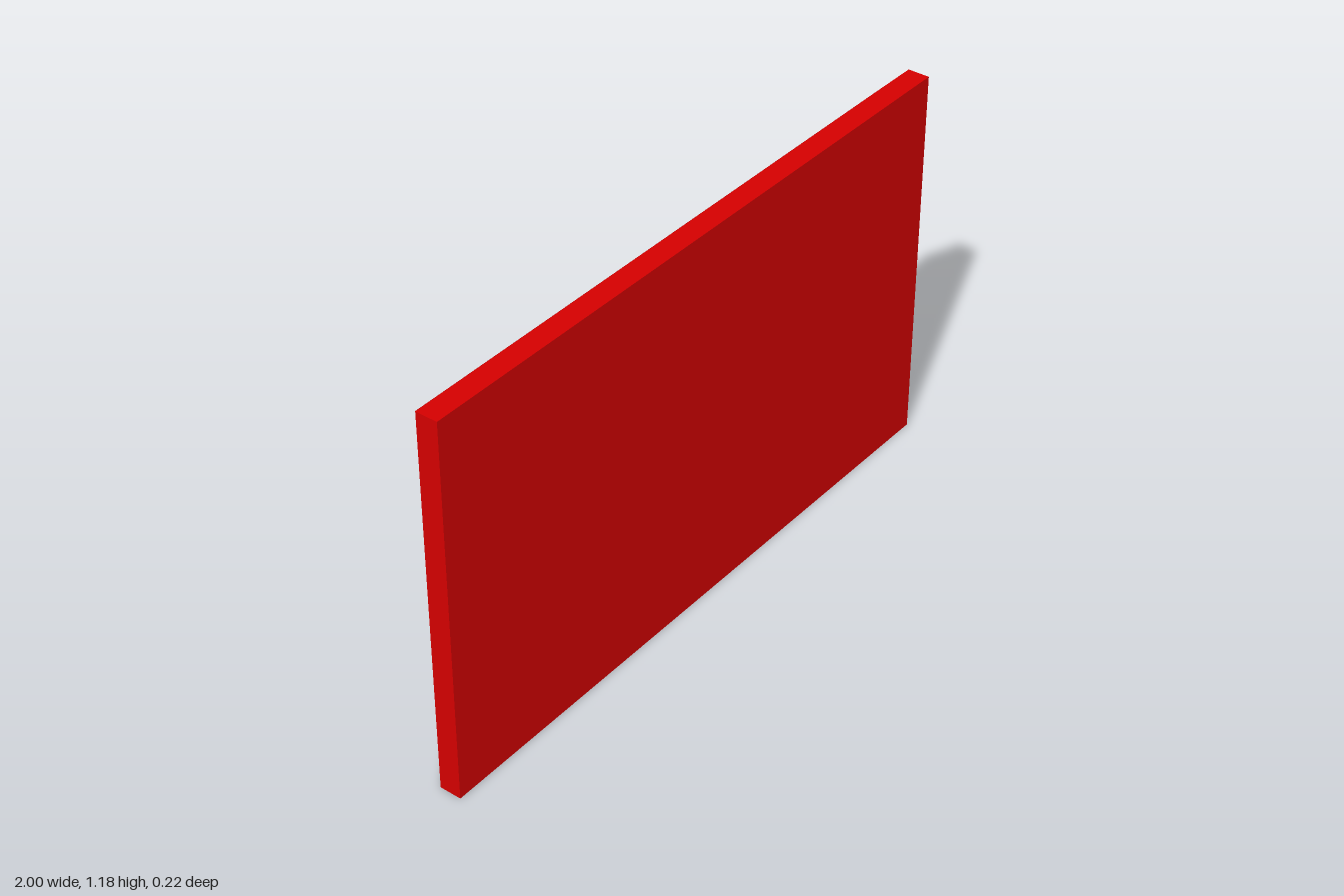
import * as THREE from 'three';

const red = new THREE.MeshStandardMaterial({ color: 0xd60000 });
red.name = 'red';
const darkRed = new THREE.MeshStandardMaterial({ color: 0x860406 });
darkRed.name = 'darkRed';
// Box faces run +x, -x, +y, -y, +z, -z
const darkSides = [darkRed, darkRed, darkRed, darkRed, red, red];

// Rectangular plate whose back rim rolls over in a soft chamfer
function plateGeometry(w, h, zFront, zRim, zBack, inset) {
  const positions = [], normals = [], index = [];
  const ring = (d, z) => [[-1, -1], [1, -1], [1, 1], [-1, 1]]
    .map(([sx, sy]) => [sx * (w / 2 - d), sy * (h / 2 - d), z]);
  const front = ring(0, zFront), rim = ring(0, zRim), back = ring(inset, zBack);

  const quad = (corners, cornerNormals) => {
    const i = positions.length / 3;
    corners.forEach((c, k) => {
      positions.push(...c);
      normals.push(...cornerNormals[k]);
    });
    index.push(i, i + 1, i + 2, i, i + 2, i + 3);
  };
  const toFront = [0, 0, 1], toBack = [0, 0, -1];
  quad(front, Array(4).fill(toFront));
  quad([...back].reverse(), Array(4).fill(toBack));

  // Side wall and chamfer on each of the four edges
  const outward = [[0, -1, 0], [1, 0, 0], [0, 1, 0], [-1, 0, 0]];
  for (let a = 0; a < 4; a++) {
    const b = (a + 1) % 4, n = outward[a];
    quad([front[b], front[a], rim[a], rim[b]], [n, n, n, n]);
    quad([rim[b], rim[a], back[a], back[b]], [n, n, toBack, toBack]);
  }
  const g = new THREE.BufferGeometry();
  g.setAttribute('position', new THREE.Float32BufferAttribute(positions, 3));
  g.setAttribute('normal', new THREE.Float32BufferAttribute(normals, 3));
  g.setIndex(index);
  return g;
}

function box(name, material, x, y, w, h, z0, z1) {
  const mesh = new THREE.Mesh(new THREE.BoxGeometry(w, h, z1 - z0), material);
  mesh.name = name;
  mesh.position.set(x, y, (z0 + z1) / 2);
  return mesh;
}

export function createModel() {
  const model = new THREE.Group();
  model.name = 'wallPlate';
  const height = 1.178, midY = height / 2;

  // Main plate
  const plate = new THREE.Mesh(plateGeometry(2, height, 0.112, 0.046, -0.022, 0.07), red);
  plate.name = 'basePlate';
  plate.position.y = midY;
  model.add(plate);

  // Two raised panels on dark-edged bases, each with a pair of thin floating tabs
  for (const [side, s] of [['left', 1], ['right', -1]]) {
    const unit = new THREE.Group();
    unit.name = side + 'Unit';
    unit.add(box(side + 'PanelBase', darkSides, s * 0.492, midY, 0.71, 0.71, -0.055, -0.022));
    unit.add(box(side + 'Panel', red, s * 0.492, midY, 0.71, 0.71, -0.079, -0.055));
    unit.add(box(side + 'InnerTab', darkSides, s * 0.326, midY, 0.108, 0.218, -0.112, -0.091));
    unit.add(box(side + 'OuterTab', darkSides, s * 0.654, midY, 0.108, 0.218, -0.112, -0.091));
    model.add(unit);
  }
  return model;
}
